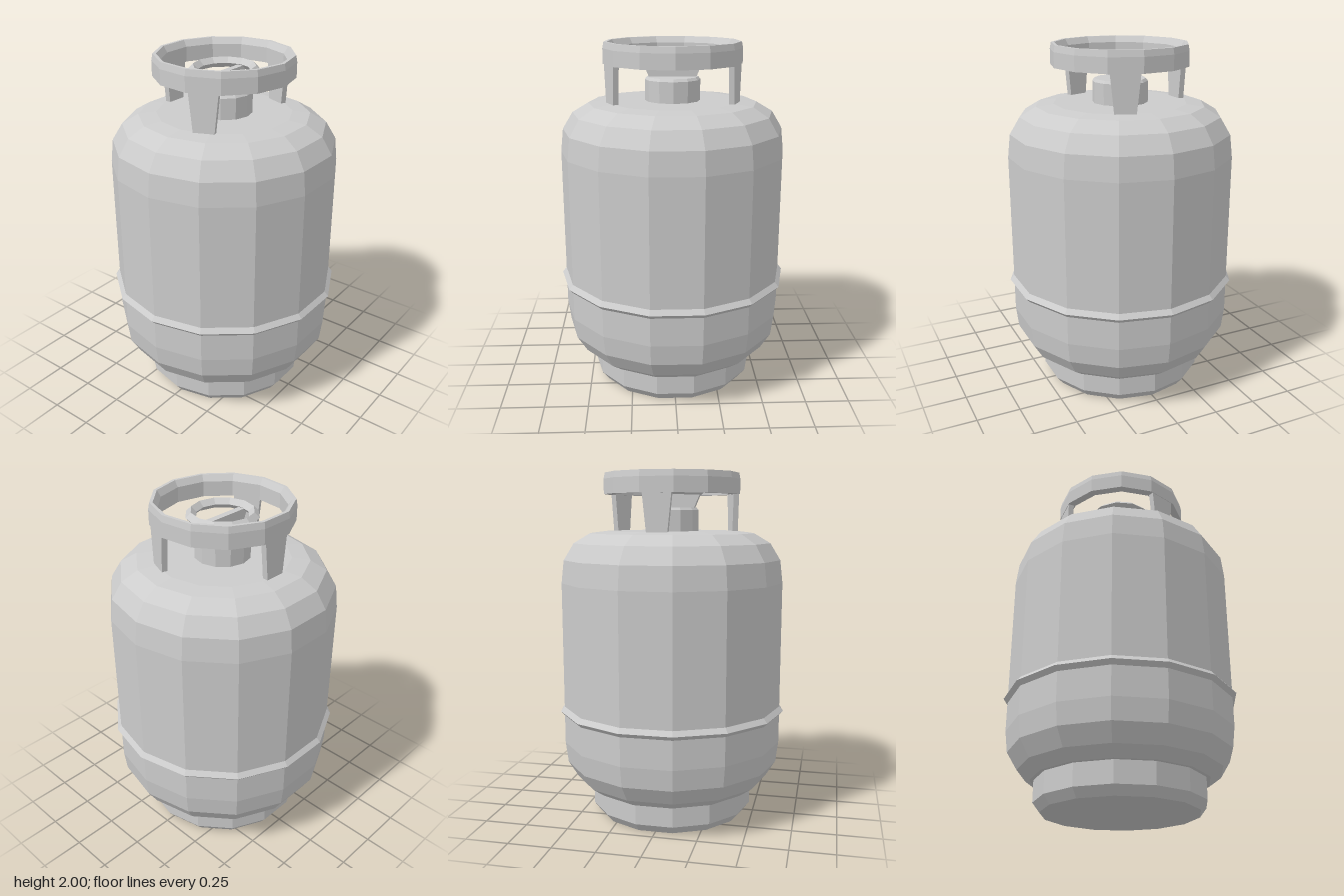
import * as THREE from 'three';

const material = new THREE.MeshStandardMaterial({ color: 0xcccccc, flatShading: true });

function addMesh(parent, name, geometry) {
  const mesh = new THREE.Mesh(geometry, material);
  mesh.name = name;
  parent.add(mesh);
  return mesh;
}

// Faceted revolved part; profile is [radius, height] from bottom to top on the outside
function lathe(profile, sides, start = 0) {
  return new THREE.LatheGeometry(profile.map(([r, y]) => new THREE.Vector2(r, y)), sides, start);
}

// Box standing from y0 to y1 whose width changes from bottom to top
function taperedPlate(bottomWidth, topWidth, y0, y1, depth) {
  const geometry = new THREE.BoxGeometry(1, y1 - y0, depth);
  geometry.translate(0, (y0 + y1) / 2, 0);
  const p = geometry.attributes.position;
  const middle = (y0 + y1) / 2;
  for (let i = 0; i < p.count; i++) {
    p.setX(i, p.getX(i) * (p.getY(i) > middle ? topWidth : bottomWidth));
  }
  geometry.computeVertexNormals();
  return geometry;
}

export function createModel() {
  const model = new THREE.Group();
  model.name = 'gasCylinder';
  const bodySides = 14;
  const bodyStart = Math.PI / 2;

  // Foot with a bevelled lower edge
  addMesh(model, 'footRing', lathe(
    [[0, 0], [0.44, 0], [0.478, 0.05], [0.478, 0.19], [0, 0.19]], bodySides, bodyStart));

  // Tank with rounded shoulders
  addMesh(model, 'tank', lathe([
    [0, 0.172], [0.5, 0.172], [0.572, 0.225], [0.63, 0.32], [0.645, 0.44],
    [0.645, 1.38], [0.63, 1.51], [0.572, 1.605], [0.48, 1.66], [0.38, 1.672], [0, 1.672],
  ], bodySides, bodyStart));

  // Weld seam around the tank
  addMesh(model, 'seamBand', lathe(
    [[0.64, 0.6], [0.668, 0.63], [0.64, 0.663]], bodySides, bodyStart));

  // Guard ring carried by three tapered legs
  const guard = new THREE.Group();
  guard.name = 'guard';
  model.add(guard);
  const guardSides = 13;
  addMesh(guard, 'guardRing', lathe([
    [0.345, 1.88], [0.392, 1.88], [0.392, 1.965], [0.385, 2], [0.367, 2], [0.345, 1.965], [0.345, 1.88],
  ], guardSides));
  const faceAngle = (2 * Math.PI) / guardSides;
  for (const face of [2.5, 6.5, 10.5]) {
    const geometry = taperedPlate(0.115, 0.165, 1.66, 1.9, 0.032);
    geometry.translate(0, 0, 0.362);
    addMesh(guard, 'guardLeg', geometry).rotation.y = face * faceAngle;
  }

  // Valve: neck, thin stem plate and hand wheel
  const valve = new THREE.Group();
  valve.name = 'valve';
  model.add(valve);
  addMesh(valve, 'valveNeck', lathe(
    [[0, 1.65], [0.157, 1.65], [0.157, 1.79], [0.145, 1.805], [0, 1.805]], 12));
  addMesh(valve, 'stemPlate', taperedPlate(0.26, 0.35, 1.795, 1.9, 0.038));
  const wheel = new THREE.TorusGeometry(0.173, 0.029, 4, 12);
  wheel.rotateX(Math.PI / 2);
  wheel.translate(0, 1.905, 0);
  addMesh(valve, 'handWheel', wheel);

  return model;
}
